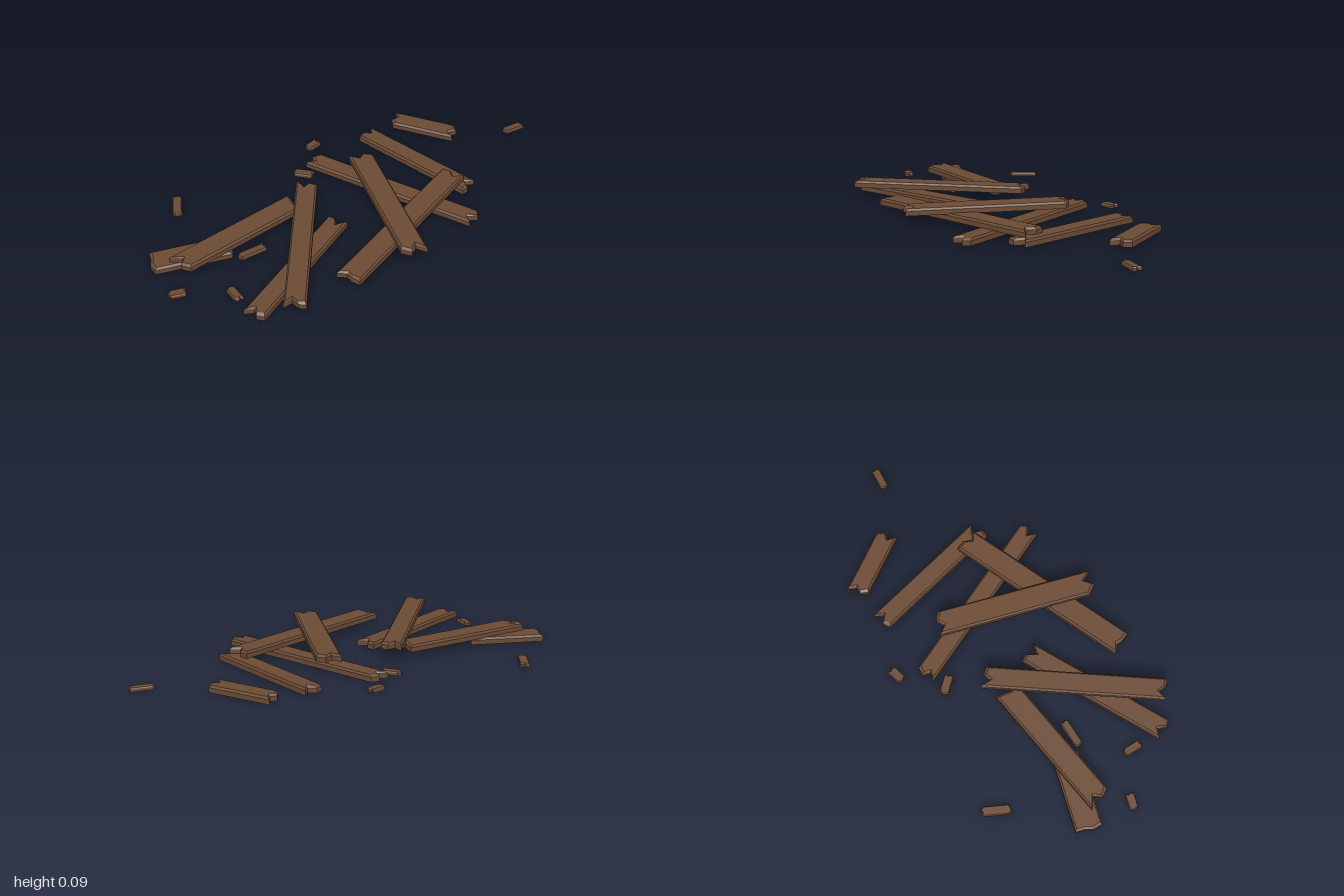
import * as THREE from 'three';

// One broken board lying from a to b (x, z), with ragged ends and a chamfered top.
// start / end list how far each end is broken back at four points across the width.
function board(name, material, { a, b, w, y = 0, h, start, end, inset }) {
  const dx = b[0] - a[0], dz = b[1] - a[1], len = Math.hypot(dx, dz);
  const across = [0.5, 0.14, -0.14, -0.5];
  const outline = [
    ...across.map((s, i) => new THREE.Vector2(start[i], s * w)),
    ...across.map((s, i) => new THREE.Vector2(len - end[i], s * w)).reverse(),
  ];
  const geo = new THREE.ExtrudeGeometry(new THREE.Shape(outline), { depth: 1, steps: 2, bevelEnabled: false });
  const p = geo.attributes.position;
  for (let i = 0; i < p.count; i++) {
    const level = p.getZ(i);
    if (level > 0.9) {
      p.setX(i, len / 2 + (p.getX(i) - len / 2) * (1 - 2 * inset / len));
      p.setY(i, p.getY(i) * (1 - 1.3 * inset / w));
    }
    p.setZ(i, h * (level > 0.9 ? 1 : level > 0.4 ? 0.7 : 0));
  }
  geo.rotateX(-Math.PI / 2);
  geo.computeVertexNormals();
  const mesh = new THREE.Mesh(geo, material);
  mesh.name = name;
  mesh.position.set(a[0], y, a[1]);
  mesh.rotation.y = Math.atan2(-dz, dx);
  return mesh;
}

export function createModel() {
  const group = new THREE.Group();
  group.name = 'brokenPlanks';
  const wood = new THREE.MeshStandardMaterial({ color: 0x6b4a34 });
  wood.name = 'brownWood';

  // Planks: from, to, width, layer, start break, end break
  const planks = [
    [[-0.975, -0.143], [-0.63, -0.05], 0.12, 0, [0.01, 0.01, 0, 0.01], [0, 0.02, 0, 0.01]],
    [[-0.9, -0.035], [-0.26, -0.12], 0.11, 1, [0, 0.04, 0.01, 0.03], [0, 0.01, 0.02, 0]],
    [[-0.775, 0.38], [-0.155, 0.06], 0.095, 0, [0, 0.03, 0, 0.01], [0, 0, 0.04, 0]],
    [[-0.635, 0.475], [-0.16, -0.185], 0.095, 2, [0, 0.03, 0, 0], [0, 0.04, 0.01, 0.02]],
    [[-0.01, -0.39], [0.355, 0.395], 0.09, 0, [0.02, 0, 0.03, 0], [0.02, 0, 0.04, 0.01]],
    [[0.155, -0.225], [-0.04, 0.48], 0.11, 2, [0.02, 0, 0.03, 0], [0, 0.04, 0, 0.03]],
    [[-0.355, 0.435], [0.45, 0.1], 0.11, 1, [0, 0.02, 0.01, 0.01], [0, 0, 0.03, 0]],
    [[0.315, -0.425], [0.47, 0.195], 0.092, 0, [0, 0.03, 0, 0.01], [0.01, 0.04, 0, 0]],
    [[0.495, -0.445], [0.675, -0.18], 0.095, 0, [0, 0.02, 0, 0.02], [0.02, 0, 0.03, 0]],
  ];
  const layers = [0, 0.029, 0.055];
  planks.forEach(([a, b, w, layer, start, end], i) => {
    group.add(board('plank' + (i + 1), wood, { a, b, w, y: layers[layer], h: 0.031, start, end, inset: 0.012 }));
  });

  // Small splinters scattered around the pile
  const chips = [
    [[-0.72, -0.375], [-0.66, -0.495], 0.042],
    [[0.025, -0.48], [0.1, -0.5], 0.042],
    [[-0.125, -0.36], [-0.06, -0.29], 0.042],
    [[-1, 0.07], [-0.925, 0.092], 0.04],
    [[-0.64, 0.025], [-0.505, 0.025], 0.037],
    [[-0.768, 0.17], [-0.768, 0.26], 0.037],
    [[0.885, -0.073], [0.995, -0.066], 0.038],
  ];
  chips.forEach(([a, b, w], i) => {
    group.add(board('splinter' + (i + 1), wood,
      { a, b, w, h: 0.017, start: [0.012, 0, 0.003, 0.01], end: [0, 0.008, 0, 0.006], inset: 0.005 }));
  });
  return group;
}
